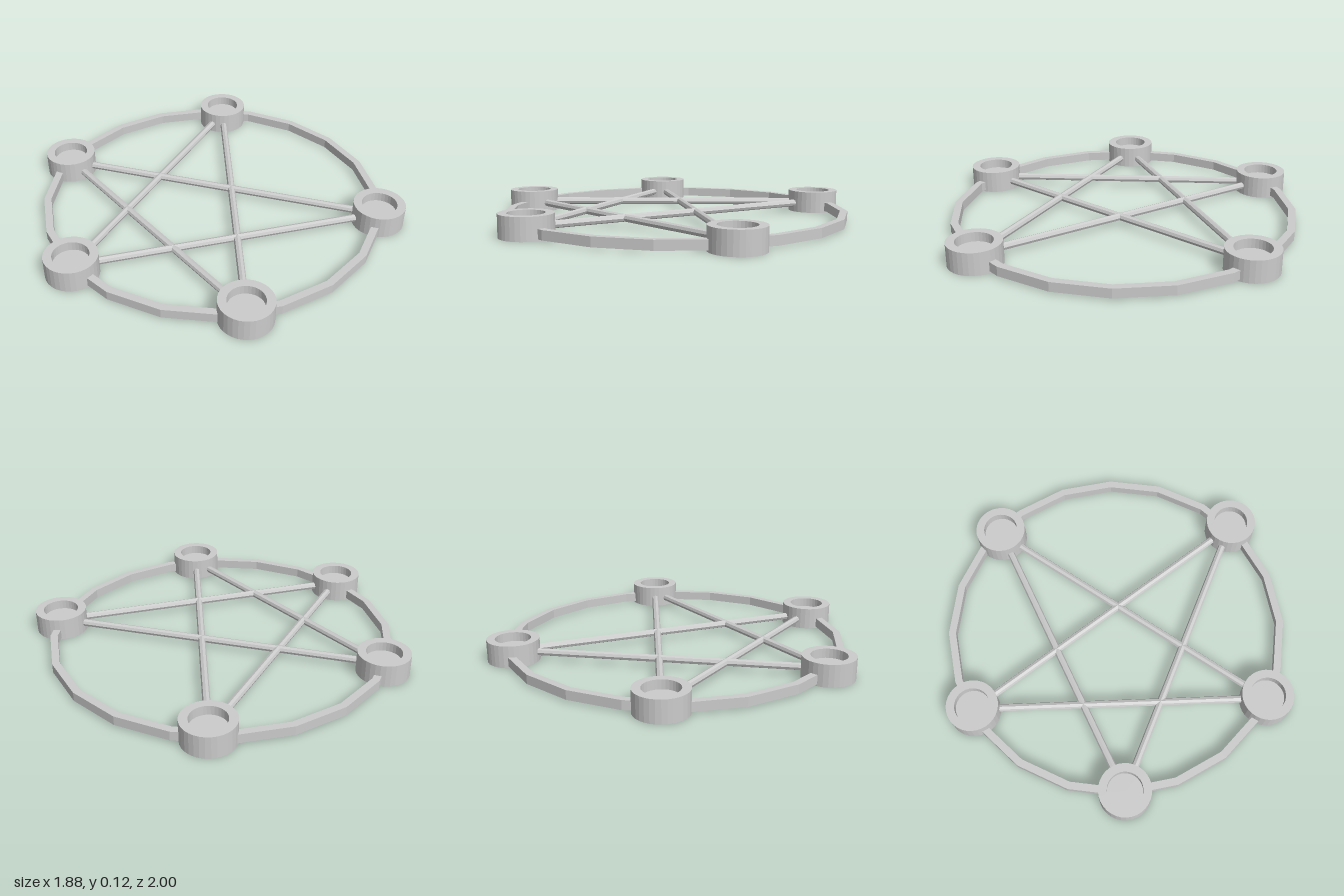
import * as THREE from 'three';

const CUPS = [
  ['backRight', -0.65, -0.67],
  ['backLeft', 0.69, -0.67],
  ['frontLeft', 0.8, 0.38],
  ['front', 0.01, 0.86],
  ['frontRight', -0.79, 0.38],
];
const CUP_RADIUS = 0.14, ROD_Y = 0.05;

// Regular counter-clockwise polygon with a corner on the z axis
function polygon(radius, sides) {
  return Array.from({ length: sides }, (_, i) => {
    const a = (i / sides) * Math.PI * 2;
    return new THREE.Vector2(-Math.sin(a) * radius, Math.cos(a) * radius);
  });
}

export function createModel() {
  const group = new THREE.Group();
  const material = new THREE.MeshStandardMaterial({ color: 0xcccccc, flatShading: true });

  // Faceted outer ring
  const outline = new THREE.Shape(polygon(0.94, 20));
  outline.holes.push(new THREE.Path(polygon(0.9, 20)));
  const ringGeometry = new THREE.ExtrudeGeometry(outline, { depth: 0.05, bevelEnabled: false });
  ringGeometry.rotateX(-Math.PI / 2);
  const ring = new THREE.Mesh(ringGeometry, material);
  ring.name = 'outerRing';
  ring.position.set(0, 0.01, -0.06);
  group.add(ring);

  // Round cups with a shallow recess in the top
  const profile = [[0, 0], [CUP_RADIUS, 0], [CUP_RADIUS, 0.12], [0.095, 0.12], [0.095, 0.07], [0, 0.07]]
    .map(([r, y]) => new THREE.Vector2(r, y));
  const cupGeometry = new THREE.LatheGeometry(profile, 32);
  for (const [name, x, z] of CUPS) {
    const cup = new THREE.Mesh(cupGeometry, material);
    cup.name = name + 'Cup';
    cup.position.set(x, 0, z);
    group.add(cup);
  }

  // Crossing faceted rods join every second cup
  CUPS.forEach(([name, x, z], i) => {
    const [, endX, endZ] = CUPS[(i + 2) % CUPS.length];
    const dx = endX - x, dz = endZ - z;
    const geometry = new THREE.CylinderGeometry(0.02, 0.02, Math.hypot(dx, dz) - CUP_RADIUS, 8);
    geometry.rotateX(Math.PI / 2);
    const rod = new THREE.Mesh(geometry, material);
    rod.name = name + 'Rod';
    rod.position.set(x + dx / 2, ROD_Y, z + dz / 2);
    rod.rotation.y = Math.atan2(dx, dz);
    group.add(rod);
  });

  return group;
}
